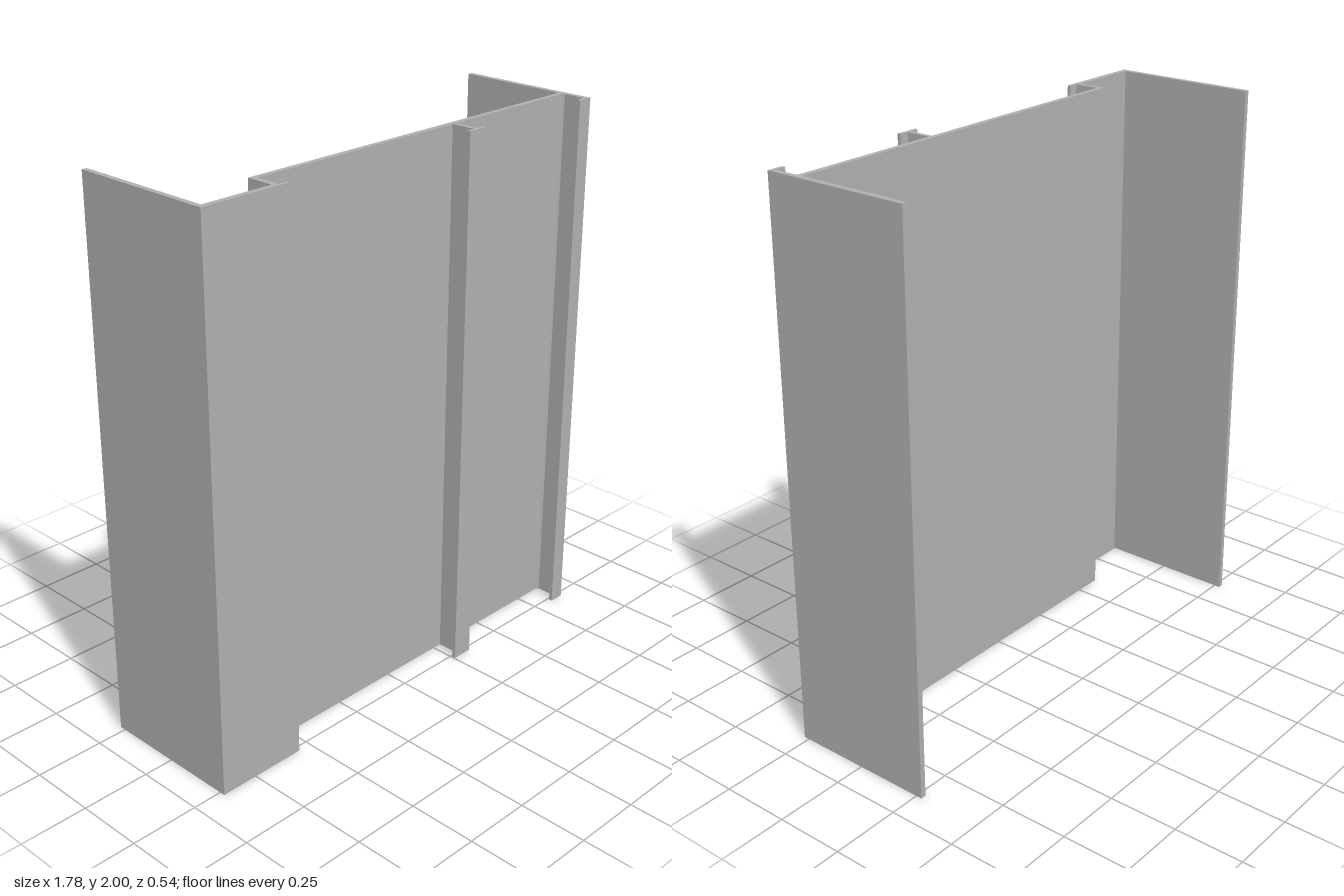
import * as THREE from 'three';

const HEIGHT = 2;

// Cross-section seen from above, as [x, z] corners in order round the outline
const outline = [
  // left side wall and front face
  [-0.89, -0.272], [-0.89, 0.27], 
  // lip past the step
  [-0.55, 0.27], [-0.55, 0.257], [-0.583, 0.257],
  // step up to the recessed panel
  [-0.583, 0.166],
  // T-shaped rib
  [0.285, 0.166], [0.285, 0.257], [0.253, 0.257], [0.253, 0.27],
  [0.333, 0.27], [0.333, 0.257], [0.3, 0.257], [0.3, 0.166],
  // right wall with its front lip and small corner bevels
  [0.862, 0.166], [0.87, 0.174], [0.87, 0.257], [0.832, 0.257], [0.832, 0.27],
  [0.89, 0.27], [0.89, -0.272], [0.87, -0.272], [0.87, 0.139], [0.862, 0.147],
  // back of the panel, step and left wall
  [-0.602, 0.147], [-0.602, 0.249], [-0.871, 0.249], [-0.871, -0.272],
];

export function createModel() {
  const gray = new THREE.MeshStandardMaterial({ color: 0xb0b0b0 });
  gray.name = 'gray metal';

  // Draw the section with z flipped, extrude it and stand it upright
  const section = new THREE.Shape(outline.map(([x, z]) => new THREE.Vector2(x, -z)));
  const geometry = new THREE.ExtrudeGeometry(section, { depth: HEIGHT, bevelEnabled: false });
  geometry.rotateX(-Math.PI / 2);

  const profile = new THREE.Mesh(geometry, gray);
  profile.name = 'extrudedFrameProfile';

  const model = new THREE.Group();
  model.name = 'frameProfile';
  model.add(profile);
  return model;
}
